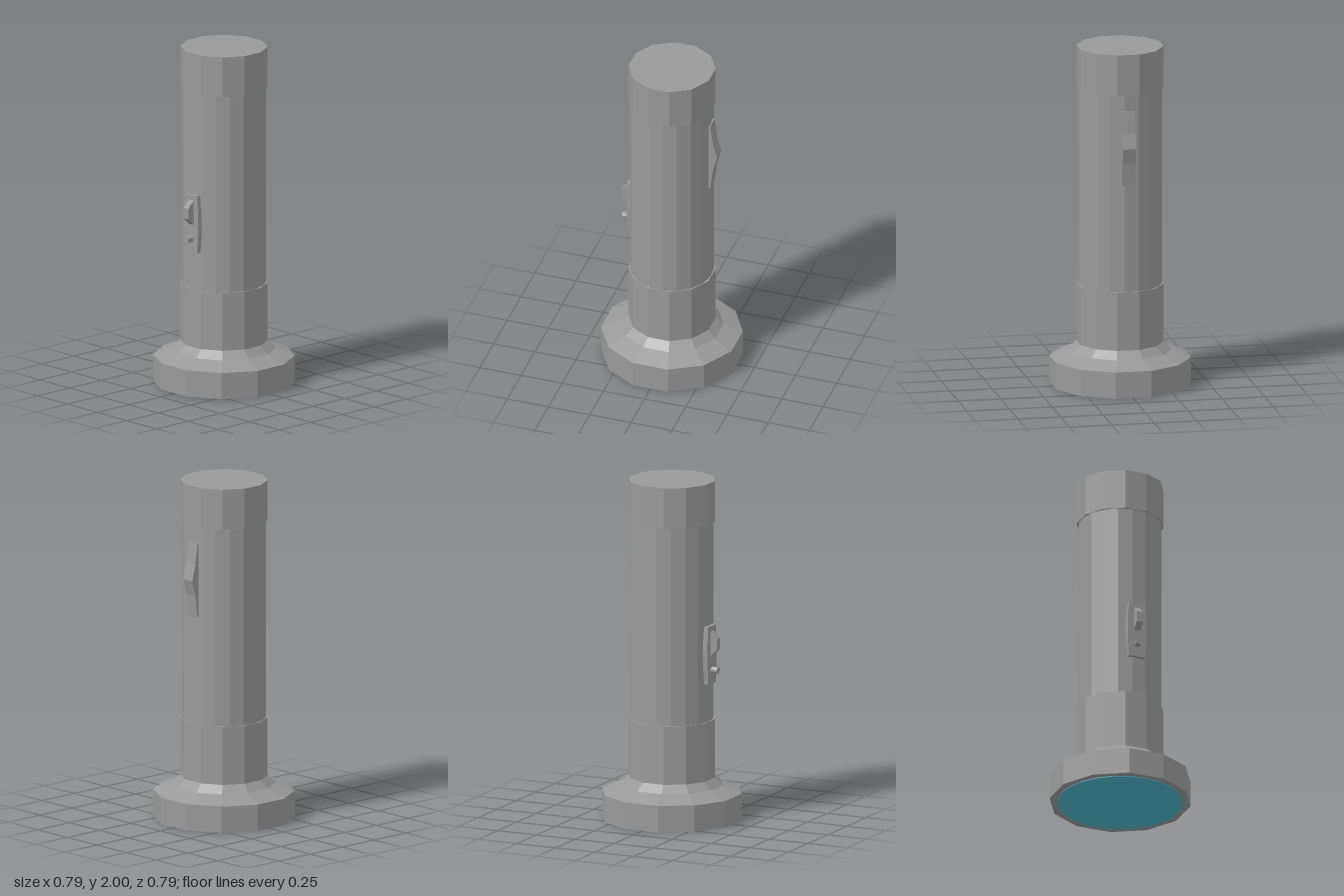
import * as THREE from 'three';

const metal = new THREE.MeshStandardMaterial({ color: 0x999999 });
metal.name = 'grey metal';
const glass = new THREE.MeshStandardMaterial({ color: 0x48b4c8 });
glass.name = 'teal glass';

const TURN = Math.PI / 12; // puts a flat facet at the front
const v2 = ([x, y]) => new THREE.Vector2(x, y);

// Faceted mesh: every face gets its own normal
function part(name, geometry, material = metal) {
  const g = geometry.index ? geometry.toNonIndexed() : geometry;
  g.computeVertexNormals();
  const mesh = new THREE.Mesh(g, material);
  mesh.name = name;
  return mesh;
}

// Turned part; the profile gives facet distance and height, bottom to top
function turned(name, profile) {
  const points = profile.map(([r, y]) => v2([r / Math.cos(TURN), y]));
  return part(name, new THREE.LatheGeometry(points, 12, TURN));
}

// Side profile in (z, y), extruded across x
function sideProfile(name, points, width) {
  const g = new THREE.ExtrudeGeometry(new THREE.Shape(points.map(v2)), { depth: width, bevelEnabled: false });
  g.translate(0, 0, -width / 2).rotateY(-Math.PI / 2);
  return part(name, g);
}

export function createModel() {
  const model = new THREE.Group();
  model.name = 'flashlight';

  // Flared head with collar, and tail cap
  model.add(turned('head', [
    [0, 0.004], [0.395, 0.004], [0.395, 0.16], [0.288, 0.205], [0.243, 0.25], [0.243, 0.595], [0, 0.595],
  ]));
  model.add(turned('tailCap', [[0, 1.76], [0.243, 1.76], [0.243, 2], [0, 2]]));

  // Barrel
  const barrel = part('barrel', new THREE.CylinderGeometry(0.241, 0.241, 1.22, 18, 1, true, TURN));
  barrel.position.y = 1.18;
  model.add(barrel);

  // Lens on the underside of the head
  const lens = part('lens', new THREE.CylinderGeometry(0.362, 0.362, 0.006, 24, 1, false, TURN), glass);
  lens.position.y = 0.003;
  model.add(lens);

  // Switch plate with bowed sides
  const half = [[0.05, 0.82], [0.06, 0.91], [0.064, 0.99], [0.06, 1.07], [0.05, 1.16]];
  const outline = [...half, ...half.map(([x, y]) => [-x, y]).reverse()].map(v2);
  const plateGeometry = new THREE.ExtrudeGeometry(new THREE.Shape(outline), { depth: 0.033, bevelEnabled: false });
  // Narrow the front face slightly
  const pos = plateGeometry.attributes.position;
  for (let i = 0; i < pos.count; i++) {
    if (pos.getZ(i) > 0.02) pos.setX(i, Math.sign(pos.getX(i)) * Math.min(Math.abs(pos.getX(i)), 0.057));
  }
  const plate = part('switchPlate', plateGeometry);
  plate.position.z = 0.225;

  // Slider and push button
  const slider = sideProfile('slider', [[0.25, 0.985], [0.26, 0.985], [0.3, 1.025], [0.3, 1.088], [0.26, 1.128], [0.25, 1.128]], 0.04);
  const button = part('button', new THREE.CylinderGeometry(0.02, 0.02, 0.05, 10).rotateX(Math.PI / 2));
  button.position.set(0, 0.9, 0.273);
  const control = new THREE.Group();
  control.name = 'switch';
  control.add(plate, slider, button);
  model.add(control);

  // Peaked clip on the back
  model.add(sideProfile('clip', [
    [-0.225, 1.23], [-0.225, 1.665], [-0.245, 1.665], [-0.262, 1.54], [-0.286, 1.45], [-0.262, 1.36], [-0.245, 1.23],
  ], 0.078));

  return model;
}
